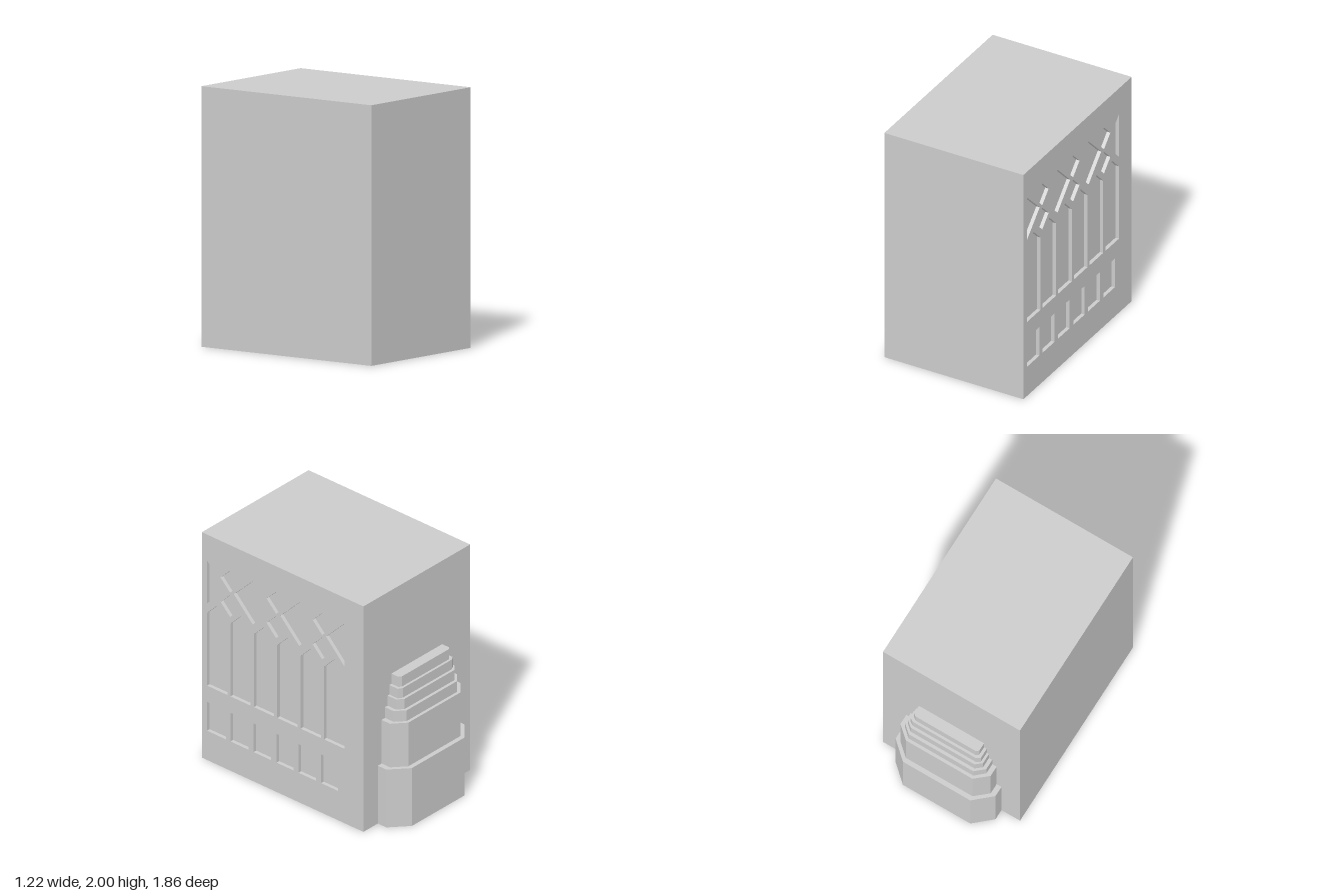
import * as THREE from 'three';

const W = 0.61, FRONT = 0.93, BACK = -0.713, H = 2, RECESS = 0.03;

const material = new THREE.MeshStandardMaterial({
  color: 0xcccccc, flatShading: true, side: THREE.DoubleSide,
});

function add(parent, name, geometry) {
  const mesh = new THREE.Mesh(geometry, material);
  mesh.name = name;
  parent.add(mesh);
  return mesh;
}

// Flat-sided skin through a list of cross-sections with equal point counts
function loft(rows) {
  const pos = [];
  for (let r = 0; r + 1 < rows.length; r++) {
    const a = rows[r], b = rows[r + 1];
    for (let i = 0; i + 1 < a.length; i++) {
      for (const p of [a[i], a[i + 1], b[i + 1], a[i], b[i + 1], b[i]]) pos.push(...p);
    }
  }
  const g = new THREE.BufferGeometry();
  g.setAttribute('position', new THREE.Float32BufferAttribute(pos, 3));
  g.computeVertexNormals();
  return g;
}

// Outlines of the recesses, counter-clockwise, as [u, y] with u = -z
const diamond = (z, y, r) => [[-z, y - r], [-z + r, y], [-z, y + r], [-z - r, y]];

function recessOutlines() {
  const list = [];
  // low row of square panels
  const squares = [[0.877, 0.686], [0.638, 0.457], [0.404, 0.229],
    [0.17, 0], [-0.053, -0.229], [-0.282, -0.457]];
  for (const [z0, z1] of squares) {
    list.push(['squarePanel', [[-z0, 0.26], [-z1, 0.26], [-z1, 0.515], [-z0, 0.515]]]);
  }
  // tall pointed windows
  for (let i = 0; i < 6; i++) {
    const u = -0.877 + i * 0.238, w = 0.206;
    list.push(['pointedWindow',
      [[u, 0.66], [u + w, 0.66], [u + w, 1.305], [u + w / 2, 1.41], [u, 1.305]]]);
  }
  // tracery of large and small diamonds, with half diamonds at the ends
  for (const z of [0.412, -0.06]) list.push(['largeDiamond', diamond(z, 1.58, 0.192)]);
  for (const z of [0.643, 0.175, -0.293]) {
    list.push(['smallDiamond', diamond(z, 1.675, 0.097)]);
    list.push(['smallDiamond', diamond(z, 1.459, 0.097)]);
  }
  list.push(['halfDiamond', [[-0.877, 1.39], [-0.682, 1.58], [-0.877, 1.77]]]);
  list.push(['halfDiamond', [[0.52, 1.39], [0.52, 1.77], [0.333, 1.58]]]);
  return list;
}

const toShape = (pts) => new THREE.Shape(pts.map(([x, y]) => new THREE.Vector2(x, y)));

// Side wall cut by shallow recesses, drawn flat and turned to face +x
function windowWall() {
  const group = new THREE.Group();
  group.name = 'windowWall';
  const wall = toShape([[-FRONT, 0], [-BACK, 0], [-BACK, H], [-FRONT, H]]);
  for (const [name, pts] of recessOutlines()) {
    const shape = toShape(pts);
    wall.holes.push(shape);
    const loop = [...pts, pts[0]];
    add(group, name + 'Reveal',
      loft([loop.map(([x, y]) => [x, y, 0]), loop.map(([x, y]) => [x, y, -RECESS])]));
    add(group, name, new THREE.ShapeGeometry(shape).translate(0, 0, -RECESS));
  }
  add(group, 'wallFace', new THREE.ShapeGeometry(wall));
  group.rotation.y = Math.PI / 2;
  group.position.x = W;
  return group;
}

// Plain walls and roof: a box without its underside and window side
function plainShell() {
  const g = new THREE.BoxGeometry(2 * W, H, FRONT - BACK);
  const index = Array.from(g.index.array);
  g.setIndex([1, 2, 4, 5].flatMap((f) => index.slice(f * 6, f * 6 + 6)));
  g.clearGroups();
  return g.translate(0, H / 2, (FRONT + BACK) / 2);
}

// Stepped bay on the back, with chamfered corners, open below
function steppedBay() {
  // top height, half width at wall, z of chamfer start, half width at back, z of back
  const tiers = [
    [0.513, 0.445, -0.80, 0.30, -0.93],
    [0.90, 0.402, -0.80, 0.297, -0.892],
    [0.995, 0.363, -0.80, 0.288, -0.867],
    [1.085, 0.334, -0.80, 0.284, -0.842],
    [1.17, 0.314, -0.80, 0.28, -0.82],
    [1.26, 0.29, -0.783, 0.268, -0.80],
  ];
  const rows = [];
  let y = 0;
  for (const [top, w, zc, wb, zb] of tiers) {
    const outline = [[w, BACK], [w, zc], [wb, zb], [-wb, zb], [-w, zc], [-w, BACK]];
    for (const h of [y, top]) rows.push(outline.map(([x, z]) => [x, h, z]));
    y = top;
  }
  // close the top back to the wall
  rows.push(rows[rows.length - 1].map(([x, h]) => [x, h, BACK]));
  return loft(rows);
}

export function createModel() {
  const model = new THREE.Group();
  model.name = 'building';
  add(model, 'plainWallsAndRoof', plainShell());
  model.add(windowWall());
  add(model, 'steppedBay', steppedBay());
  return model;
}
